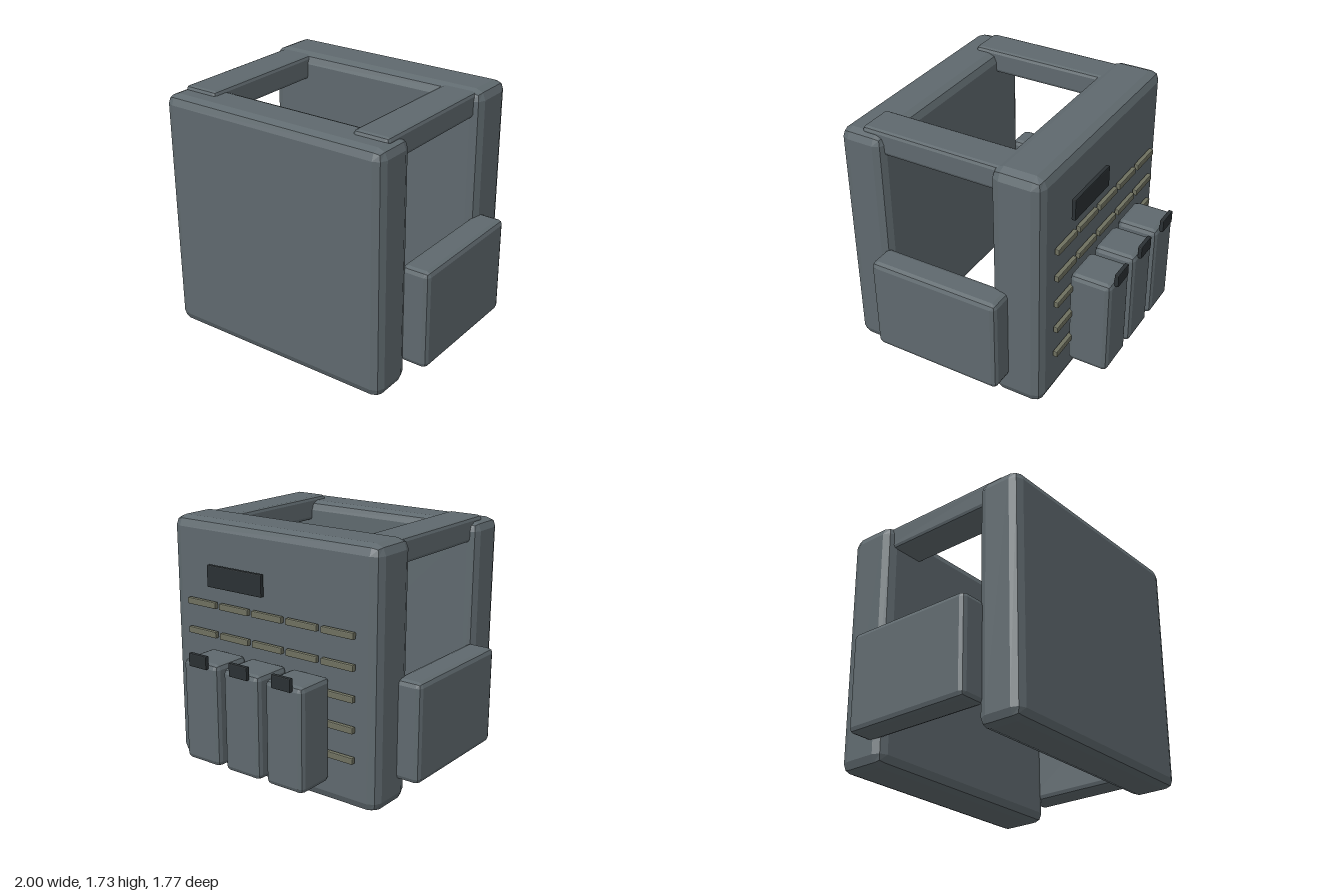
import * as THREE from 'three';
import { RoundedBoxGeometry } from 'three/addons/geometries/RoundedBoxGeometry.js';

const paint = (color) => new THREE.MeshStandardMaterial({ color, flatShading: true });

// Box with two-step bevels, given its extent along each axis
function bevelBox(name, [x0, x1], [y0, y1], [z0, z1], radius, material) {
  const geometry = new RoundedBoxGeometry(x1 - x0, y1 - y0, z1 - z0, 1, radius);
  const mesh = new THREE.Mesh(geometry, material);
  mesh.position.set((x0 + x1) / 2, (y0 + y1) / 2, (z0 + z1) / 2);
  mesh.name = name;
  return mesh;
}

export function createModel() {
  const vest = new THREE.Group();
  vest.name = 'plateCarrierVest';
  const fabric = paint(0x5f696e);
  const dark = paint(0x2a3033);
  const olive = paint(0x6e705f);

  // Front and back panels
  vest.add(bevelBox('frontPanel', [-0.84, 0.84], [0.035, 1.7], [0.57, 0.885], 0.065, fabric));
  vest.add(bevelBox('backPanel', [-0.84, 0.84], [0.01, 1.74], [-0.565, -0.205], 0.07, fabric));

  // Shoulder straps and side panels, mirrored
  for (const side of [-1, 1]) {
    const label = side > 0 ? 'left' : 'right';
    const span = (a, b) => (side > 0 ? [a, b] : [-b, -a]);
    vest.add(bevelBox(label + 'ShoulderStrap', span(0.535, 0.79), [1.56, 1.727], [-0.42, 0.74], 0.025, fabric));
    vest.add(bevelBox(label + 'SidePanel', span(0.8, 1), [0.18, 0.86], [-0.33, 0.605], 0.035, fabric));
  }

  // Pouches with pull tabs on the back panel
  for (const x of [-0.348, -0.002, 0.343]) {
    const pouch = new THREE.Group();
    pouch.name = 'pouch';
    pouch.add(bevelBox('pouchBody', [x - 0.148, x + 0.148], [0.17, 0.875], [-0.865, -0.575], 0.035, fabric));
    pouch.add(bevelBox('pullTab', [x - 0.075, x + 0.075], [0.84, 0.93], [-0.887, -0.857], 0.006, dark));
    vest.add(pouch);
  }

  // Grid of webbing loops
  const webbing = new THREE.Group();
  webbing.name = 'webbing';
  for (let row = 0; row < 5; row++) {
    const y = 0.36 + row * 0.204;
    for (let col = -2; col <= 2; col++) {
      const x = col * 0.281;
      webbing.add(bevelBox('webbingLoop', [x - 0.124, x + 0.124], [y - 0.022, y + 0.022], [-0.605, -0.573], 0.006, olive));
    }
  }
  vest.add(webbing);

  // Blank patch above the webbing
  vest.add(bevelBox('patch', [0.03, 0.495], [1.3, 1.45], [-0.612, -0.583], 0.006, dark));
  return vest;
}
